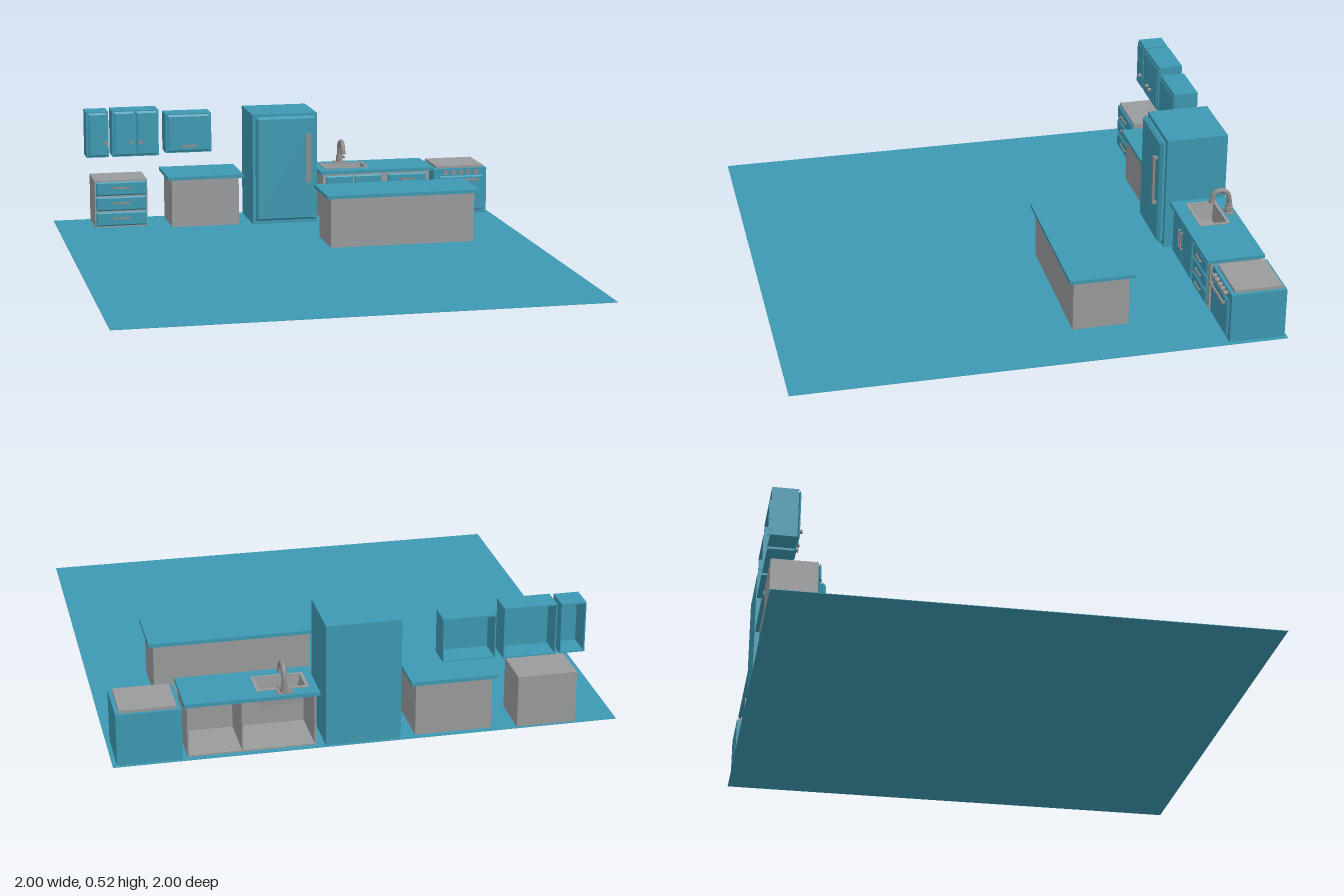
import * as THREE from 'three';

const mat = (name, color, side = THREE.FrontSide) => {
  const m = new THREE.MeshStandardMaterial({ color, side });
  m.name = name;
  return m;
};

export function createModel() {
  const root = new THREE.Group();
  root.name = 'kitchen';
  const teal = mat('teal', 0x3d99b2, THREE.DoubleSide);
  const grey = mat('grey', 0x999b9c, THREE.DoubleSide);
  const metal = mat('metal', 0x8f8d8c, THREE.DoubleSide);

  const group = (name) => {
    const g = new THREE.Group();
    g.name = name;
    root.add(g);
    return g;
  };
  const add = (parent, name, geo, m, x = 0, y = 0, z = 0) => {
    const mesh = new THREE.Mesh(geo, m);
    mesh.name = name;
    mesh.position.set(x, y, z);
    parent.add(mesh);
    return mesh;
  };
  // Box given by its limits on each axis
  const box = (parent, name, m, x0, x1, y0, y1, z0, z1) =>
    add(parent, name, new THREE.BoxGeometry(x1 - x0, y1 - y0, z1 - z0), m,
      (x0 + x1) / 2, (y0 + y1) / 2, (z0 + z1) / 2);

  // Raised panel with a chamfered front edge, standing out from z0 to z1
  const panel = (parent, name, m, x0, x1, y0, y1, z0, z1, c = 0.006) => {
    const s = new THREE.Shape();
    s.moveTo(x0 + c, y0 + c);
    s.lineTo(x1 - c, y0 + c);
    s.lineTo(x1 - c, y1 - c);
    s.lineTo(x0 + c, y1 - c);
    s.closePath();
    const b = (z1 - z0) / 2;
    const geo = new THREE.ExtrudeGeometry(s, {
      depth: 0.0005, bevelEnabled: true, bevelThickness: b, bevelSize: c, bevelSegments: 1,
    });
    return add(parent, name, geo, m, 0, 0, z0 + b);
  };

  // Bar handle on two posts, lying along x or standing along y
  const handle = (parent, x0, x1, y0, y1, z, reach = 0.016, t = 0.007) => {
    box(parent, 'handleBar', metal, x0, x1, y0, y1, z + reach - t, z + reach);
    const wide = x1 - x0 > y1 - y0;
    for (const end of [0, 1]) {
      if (wide) {
        const x = end ? x1 - t : x0;
        box(parent, 'handlePost', metal, x, x + t, y0, y1, z, z + reach - t);
      } else {
        const y = end ? y1 - t : y0;
        box(parent, 'handlePost', metal, x0, x1, y, y + t, z, z + reach - t);
      }
    }
  };

  const knob = (parent, x, y, z, r = 0.009, len = 0.016) => {
    const geo = new THREE.CylinderGeometry(r, r * 0.8, len, 12).rotateX(Math.PI / 2);
    add(parent, 'knob', geo, metal, x, y, z + len / 2);
  };

  // Cabinet shell without a back
  const shell = (parent, m, x0, x1, y0, y1, z0, z1, t, top = true) => {
    box(parent, 'sidePanel', m, x0, x0 + t, y0, y1, z0, z1);
    box(parent, 'sidePanel', m, x1 - t, x1, y0, y1, z0, z1);
    box(parent, 'bottomPanel', m, x0 + t, x1 - t, y0, y0 + t, z0, z1);
    if (top) box(parent, 'topPanel', m, x0 + t, x1 - t, y1 - t, y1, z0, z1);
    box(parent, 'frontPanel', m, x0 + t, x1 - t, y0 + t, y1 - (top ? t : 0), z1 - t, z1);
  };

  // Floor
  box(root, 'floor', teal, -1, 1, 0, 0.002, -1, 1);
  const base = 0.002;

  // Wall cabinets
  const wall = (name, x0, x1, y0, y1, doors) => {
    const g = group(name);
    shell(g, teal, x0, x1, y0, y1, -0.998, -0.893, 0.005);
    const w = (x1 - x0 - 0.008) / doors;
    for (let i = 0; i < doors; i++) {
      const a = x0 + 0.004 + i * w;
      panel(g, 'door', teal, a + 0.002, a + w - 0.002, y0 + 0.004, y1 - 0.004, -0.893, -0.883, 0.009);
    }
    return g;
  };
  const narrow = wall('narrowWallCabinet', -0.855, -0.755, 0.307, 0.515, 1);
  knob(narrow, -0.77, 0.375, -0.883);
  const double = wall('doubleWallCabinet', -0.738, -0.527, 0.307, 0.517, 2);
  for (const x of [-0.654, -0.612]) knob(double, x, 0.375, -0.883);
  const lift = wall('liftDoorWallCabinet', -0.495, -0.285, 0.315, 0.494, 1);
  handle(lift, -0.425, -0.355, 0.342, 0.352, -0.883, 0.012);

  // Stacked drawer fronts, each with a handle
  const drawers = (parent, x0, x1, y0, y1, z, half) => {
    const step = (y1 - y0) / 3, mid = (x0 + x1) / 2;
    for (let i = 0; i < 3; i++) {
      const a = y0 + i * step + 0.003, b = y0 + (i + 1) * step - 0.003;
      panel(parent, 'drawerFront', teal, x0, x1, a, b, z, z + 0.012);
      const c = (a + b) / 2 + 0.004;
      handle(parent, mid - half, mid + half, c - 0.004, c + 0.004, z + 0.012, 0.01, 0.005);
    }
  };

  // Drawer cabinet
  const chest = group('drawerCabinet');
  box(chest, 'body', grey, -0.833, -0.595, base, 0.216, -0.99, -0.805);
  drawers(chest, -0.828, -0.6, 0.006, 0.214, -0.805, 0.037);

  // Plain counter and island
  const counter = (name, x0, x1, z0, z1, back) => {
    const g = group(name);
    box(g, 'body', grey, x0 + 0.02, x1 - 0.02, base, 0.22, z0 + back, z1 - 0.018);
    box(g, 'countertop', teal, x0, x1, 0.22, 0.235, z0, z1);
  };
  counter('sideCounter', -0.513, -0.167, -0.99, -0.724, 0.015);
  counter('island', 0.093, 0.775, -0.428, -0.16, 0.018);

  // Fridge
  const fridge = group('fridge');
  box(fridge, 'body', teal, -0.125, 0.172, base, 0.505, -0.99, -0.727);
  panel(fridge, 'door', teal, -0.114, 0.161, 0.02, 0.495, -0.727, -0.7, 0.01);
  handle(fridge, 0.114, 0.134, 0.195, 0.415, -0.7, 0.02, 0.009);

  // Sink cabinet
  const sink = group('sinkCabinet');
  shell(sink, grey, 0.207, 0.709, base, 0.214, -0.975, -0.76, 0.006, false);
  box(sink, 'divider', grey, 0.492, 0.498, 0.008, 0.214, -0.975, -0.766);
  for (const [a, b, h] of [[0.22, 0.347, 0.332], [0.353, 0.48, 0.362]]) {
    panel(sink, 'door', teal, a, b, 0.012, 0.205, -0.76, -0.75);
    handle(sink, h - 0.004, h + 0.004, 0.09, 0.17, -0.75, 0.012, 0.005);
  }
  drawers(sink, 0.51, 0.69, 0.012, 0.208, -0.76, 0.032);

  // Countertop with the sink opening (shape y runs along -z)
  const rect = (S, x0, x1, z0, z1) => {
    const s = new S();
    s.moveTo(x0, -z1);
    s.lineTo(x1, -z1);
    s.lineTo(x1, -z0);
    s.lineTo(x0, -z0);
    s.closePath();
    return s;
  };
  const slab = (name, m, outer, hole, y, depth) => {
    const s = rect(THREE.Shape, ...outer);
    s.holes.push(rect(THREE.Path, ...hole));
    const geo = new THREE.ExtrudeGeometry(s, { depth, bevelEnabled: false }).rotateX(-Math.PI / 2);
    add(sink, name, geo, m, 0, y, 0);
  };
  slab('countertop', teal, [0.193, 0.72, -0.985, -0.742], [0.235, 0.423, -0.92, -0.808], 0.214, 0.015);
  slab('sinkRim', grey, [0.226, 0.432, -0.929, -0.799], [0.238, 0.42, -0.917, -0.811], 0.229, 0.004);

  // Tapered basin
  const basin = new THREE.CylinderGeometry(Math.SQRT1_2, Math.SQRT1_2 * 0.84, 0.075, 4, 1, true)
    .rotateY(Math.PI / 4).toNonIndexed();
  basin.computeVertexNormals();
  add(sink, 'basin', basin, grey, 0.329, 0.1935, -0.864).scale.set(0.184, 1, 0.108);
  box(sink, 'basinFloor', grey, 0.252, 0.406, 0.155, 0.157, -0.909, -0.819);
  add(sink, 'drain', new THREE.CylinderGeometry(0.012, 0.012, 0.003, 16), metal, 0.329, 0.158, -0.864);

  // Faucet
  const faucet = group('faucet');
  const path = new THREE.CatmullRomCurve3([
    [0.23, -0.955], [0.29, -0.955], [0.318, -0.945], [0.333, -0.917],
    [0.322, -0.89], [0.297, -0.88],
  ].map(([y, z]) => new THREE.Vector3(0.328, y, z)));
  add(faucet, 'spout', new THREE.TubeGeometry(path, 24, 0.011, 12), metal);
  add(faucet, 'nozzle', new THREE.CylinderGeometry(0.012, 0.014, 0.018, 12), metal, 0.328, 0.291, -0.88);
  add(faucet, 'collar', new THREE.CylinderGeometry(0.015, 0.017, 0.035, 12), metal, 0.328, 0.246, -0.955);
  box(faucet, 'basePlate', metal, 0.298, 0.358, 0.229, 0.234, -0.972, -0.938);
  box(faucet, 'lever', metal, 0.343, 0.352, 0.25, 0.258, -0.965, -0.935);

  // Stove
  const stove = group('stove');
  box(stove, 'body', teal, 0.73, 0.983, base, 0.214, -0.99, -0.762);
  box(stove, 'cooktop', grey, 0.747, 0.968, 0.214, 0.226, -0.977, -0.778);
  panel(stove, 'ovenDoor', teal, 0.755, 0.963, 0.018, 0.182, -0.762, -0.75);
  handle(stove, 0.775, 0.945, 0.159, 0.168, -0.75, 0.016, 0.008);
  for (const x of [0.785, 0.82, 0.856, 0.892, 0.928]) knob(stove, x, 0.199, -0.762, 0.011, 0.02);

  return root;
}
